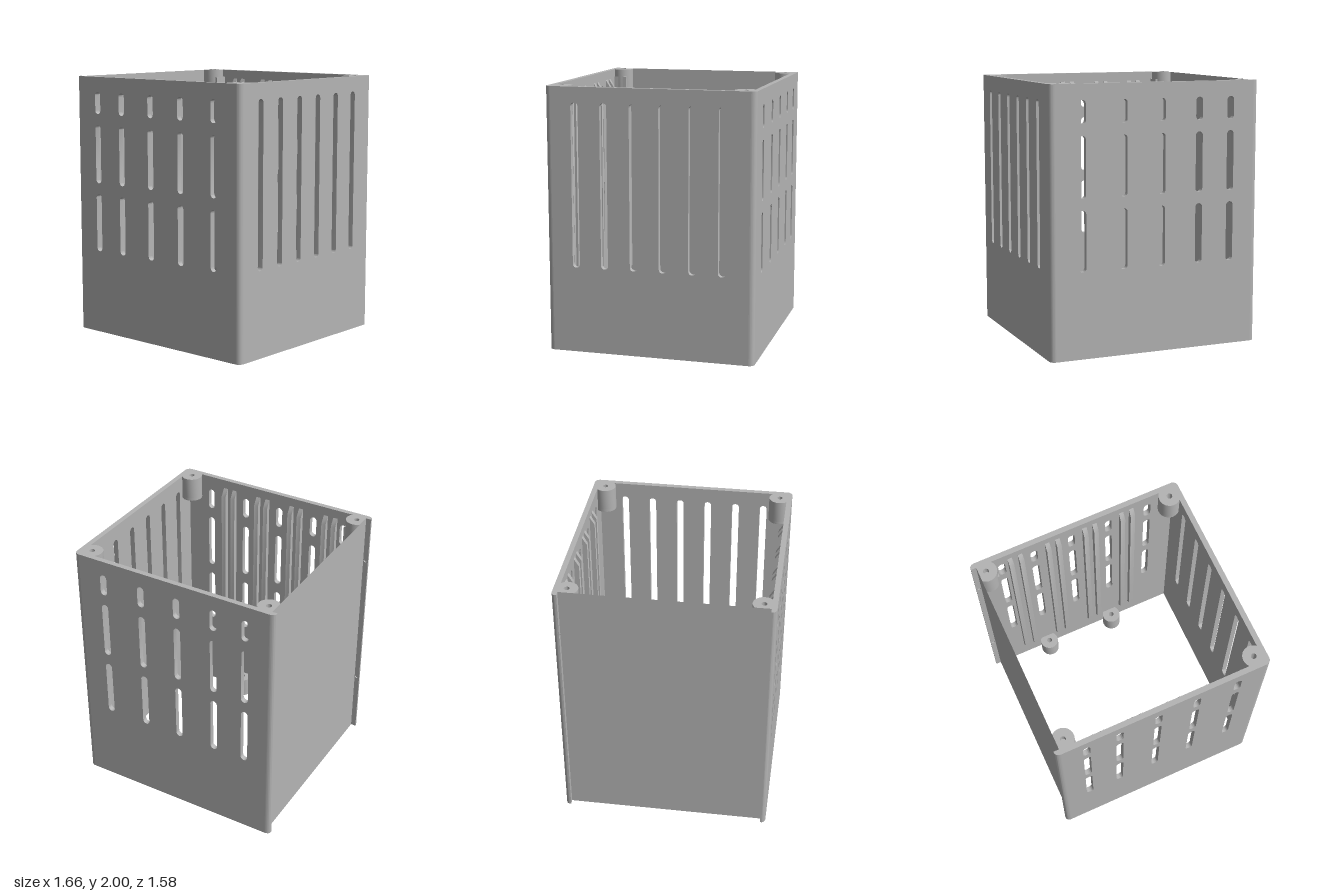
import * as THREE from 'three';
import { toCreasedNormals } from 'three/addons/utils/BufferGeometryUtils.js';

const H = 2, X = 0.83, Z = 0.79, T = 0.04;
const XI = X - T, ZI = Z - T; // inner wall faces

export function createModel() {
  const root = new THREE.Group();
  root.name = 'enclosure';
  const grey = new THREE.MeshStandardMaterial({ color: 0xb4b4b4, side: THREE.DoubleSide });
  grey.name = 'grey plastic';

  const add = (name, geometry) => {
    const mesh = new THREE.Mesh(toCreasedNormals(geometry, 0.6), grey);
    mesh.name = name;
    root.add(mesh);
  };
  const extrude = (shape, depth) =>
    new THREE.ExtrudeGeometry(shape, { depth, bevelEnabled: false, curveSegments: 12 });
  const poly = (pts) => new THREE.Shape(pts.map(([a, b]) => new THREE.Vector2(a, b)));
  const rect = (a0, a1, b0, b1) => poly([[a0, b0], [a1, b0], [a1, b1], [a0, b1]]);

  // (x, y) outline extruded along z
  const alongZ = (shape, z0, z1) => extrude(shape, z1 - z0).translate(0, 0, z0);
  // (z, y) outline extruded along x
  const alongX = (shape, x0, x1) => extrude(shape, x1 - x0).rotateY(-Math.PI / 2).translate(x1, 0, 0);
  // (x, z) outline extruded along y
  const alongY = (shape, y0, y1) => extrude(shape, y1 - y0).rotateX(Math.PI / 2).translate(0, y1, 0);

  // round-ended vertical slot
  const slot = (c, y0, y1, r = 0.028) => {
    const p = new THREE.Path();
    p.moveTo(c + r, y0 + r);
    p.lineTo(c + r, y1 - r);
    p.absarc(c, y1 - r, r, 0, Math.PI, false);
    p.lineTo(c - r, y0 + r);
    p.absarc(c, y0 + r, r, Math.PI, Math.PI * 2, false);
    return p;
  };
  const circle = (x, y, r) => new THREE.Path().absarc(x, y, r, 0, Math.PI * 2, false);
  // quarter-round outline filling a corner at (x, z), growing by rx, rz
  const quarter = (x, z, rx, rz) => {
    const pts = [[x, z]];
    for (let i = 0; i <= 10; i++) {
      const a = (i / 10) * Math.PI / 2;
      pts.push([x + rx * Math.cos(a), z + rz * Math.sin(a)]);
    }
    return poly(pts);
  };

  // screw boss with a blind hole from above; clip cuts it flat on the -x side
  const boss = (name, x, z, r, y0, y1, clip) => {
    const a = clip === undefined ? Math.PI : Math.PI - Math.acos((x - clip) / r);
    const outline = () => new THREE.Shape().absarc(x, z, r, -a, a, false);
    const ring = outline();
    ring.holes.push(circle(x, z, 0.021));
    add(name, alongY(ring, y0 + 0.02, y1));
    add(name + 'Floor', alongY(outline(), y0, y0 + 0.02));
  };

  // slotted side wall
  const side = rect(-ZI, ZI, 0, H);
  for (const z of [0.565, 0.343, 0.12, -0.102, -0.325, -0.547]) side.holes.push(slot(z, 0.65, 1.885));
  add('rightWall', alongX(side, XI, X));

  // thin closing panel on the opposite side
  add('thinPanel', new THREE.PlaneGeometry(2 * ZI, H).rotateY(-Math.PI / 2).translate(-XI, H / 2, 0));

  for (const s of [1, -1]) {
    const end = s > 0 ? 'front' : 'back';
    const span = (a, b) => (s > 0 ? [a, b] : [-b, -a]);

    // slotted wall
    const wall = rect(-XI, XI, 0, H);
    for (const x of [-0.603, -0.345, -0.042, 0.26, 0.582])
      for (const [y0, y1] of [[0.645, 1.095], [1.18, 1.63], [1.715, 1.885]])
        wall.holes.push(slot(x, y0, y1));
    add(end + 'Wall', alongZ(wall, ...span(ZI, Z)));

    // rounded corner and free lip with small screw holes
    add(end + 'Corner', alongY(quarter(XI, s * ZI, T, s * T), 0, H));
    const lip = rect(-X, -XI, 0, H);
    for (const y of [0.51, 1.63]) lip.holes.push(circle(-0.807, y, 0.014));
    add(end + 'Lip', alongZ(lip, ...span(ZI, ZI + 0.012)));
    add(end + 'LipEdge', alongY(quarter(-XI, s * (ZI + 0.012), -T, s * (T - 0.012)), 0, H));

    // paired guide ribs, chamfered at both ends
    for (const c of [-0.492, -0.193, 0.107, 0.407])
      for (const d of [-0.041, 0.041]) {
        const rib = poly([[s * ZI, 0.18], [s * 0.713, 0.23], [s * 0.713, 1.87], [s * ZI, 1.93]]);
        add(end + 'Rib', alongX(rib, c + d - 0.018, c + d + 0.018));
      }

    // thick corner post with a sloped foot
    const post = poly([[s * ZI, 0.17], [s * 0.645, 0.28], [s * 0.645, 1.94], [s * ZI, 1.94]]);
    add(end + 'Post', alongX(post, -XI + 0.002, -0.655));

    // corner bosses at the top, foot bosses at the bottom
    boss(end + 'CornerBossRight', -0.735, s * 0.695, 0.082, 1.81, H, -XI + 0.001);
    boss(end + 'CornerBossLeft', 0.735, s * 0.695, 0.082, 1.81, H);
    for (const x of [-0.336, 0.253]) boss(end + 'FootBoss', x, s * 0.702, 0.073, 0, 0.16);
  }
  return root;
}
